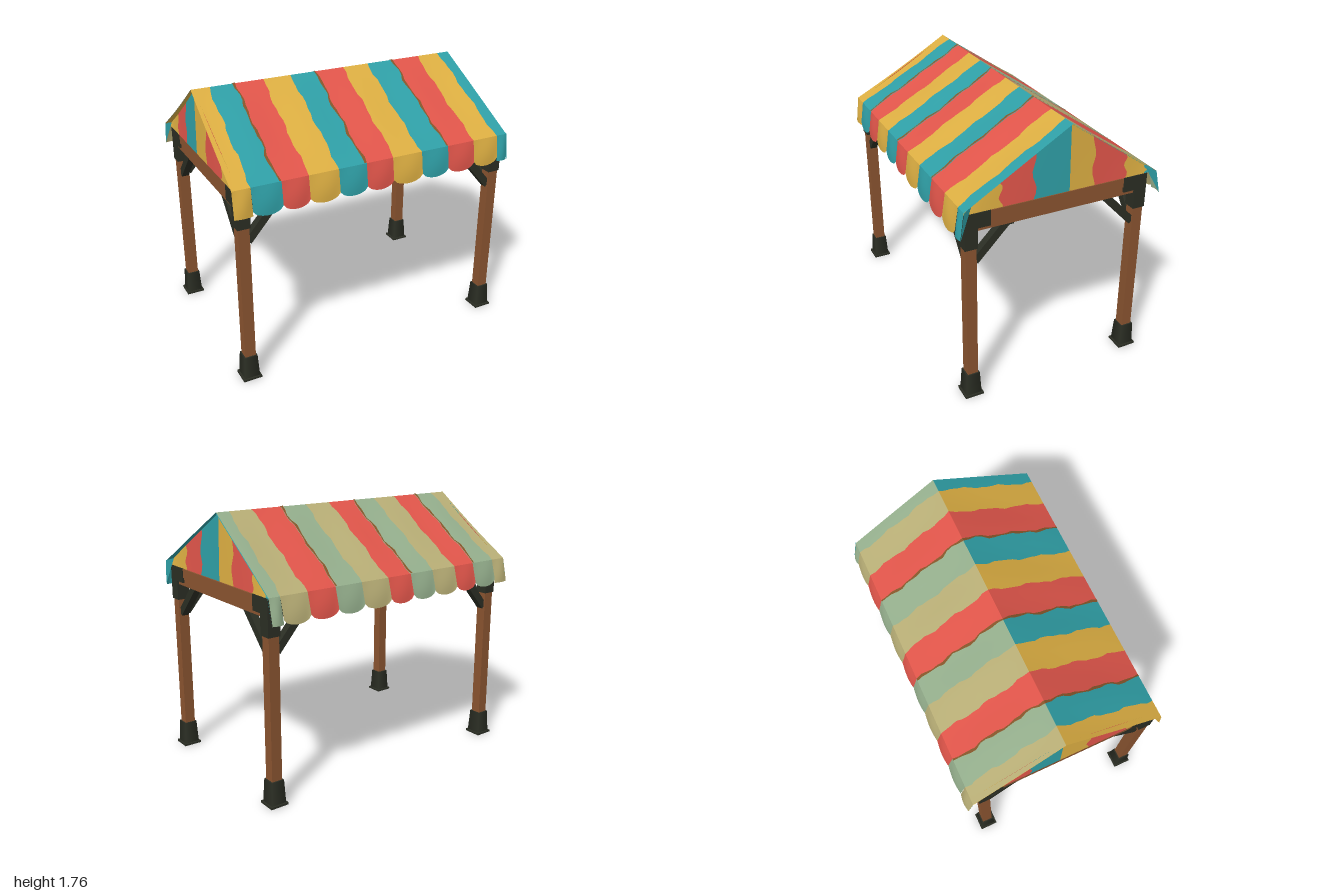
import * as THREE from 'three';

const mat = (name, color, side = THREE.FrontSide) => {
  const m = new THREE.MeshStandardMaterial({ color, side });
  m.name = name;
  return m;
};

export function createModel() {
  const model = new THREE.Group();
  model.name = 'marketCanopy';
  const D = THREE.DoubleSide;
  const yellow = mat('yellow cloth', 0xdcae42, D);
  const teal = mat('teal cloth', 0x2f9fa6, D);
  const red = mat('red cloth', 0xe0554a, D);
  const khaki = mat('faded yellow cloth', 0xb8ae76, D);
  const sage = mat('faded teal cloth', 0x94ae8c, D);
  const seam = mat('brown seam', 0x85552a, D);
  const wood = mat('wood', 0x8a5430);
  const iron = mat('dark iron', 0x2b2e24);

  const add = (parent, name, geometry, material) => {
    const mesh = new THREE.Mesh(geometry, material);
    mesh.name = name;
    parent.add(mesh);
    return mesh;
  };
  const group = (name) => {
    const g = new THREE.Group();
    g.name = name;
    model.add(g);
    return g;
  };
  const box = (parent, name, w, h, d, x, y, z, material) => {
    const m = add(parent, name, new THREE.BoxGeometry(w, h, d), material);
    m.position.set(x, y, z);
    return m;
  };
  // Grid bent by a rule: u runs left to right, v runs top to bottom
  const sheet = (parent, name, nu, nv, rule, material) => {
    const g = new THREE.PlaneGeometry(1, 1, nu, nv);
    const p = g.attributes.position;
    for (let i = 0; i < p.count; i++) {
      p.setXYZ(i, ...rule(p.getX(i) + 0.5, 0.5 - p.getY(i)));
    }
    g.computeVertexNormals();
    return add(parent, name, g, material);
  };

  // Roof shape
  const RIDGE = { y: 1.755, z: -0.04 };
  const EAVE = { 1: { y: 1.355, z: 0.655, hemZ: 0.678 }, [-1]: { y: 1.34, z: -0.645, hemZ: -0.682 } };
  const roofPoint = (x, v, side, lift = 0) => {
    const e = EAVE[side];
    const ripple = Math.sin(Math.PI * v) * (0.006 * Math.sin(x * 15) - 0.004);
    return [x * (0.985 + 0.02 * v), RIDGE.y + (e.y - RIDGE.y) * v + ripple + lift,
      RIDGE.z + (e.z - RIDGE.z) * v];
  };
  const edges = [-0.98, -0.86, -0.68, -0.49, -0.29, -0.1, 0.1, 0.3, 0.5, 0.71, 0.89, 0.975];
  const bright = [yellow, teal, red];
  const faded = [khaki, sage, red];
  const edgeX = (i, v) => {
    const inner = i > 0 && i < edges.length - 1;
    return edges[i] + (inner ? 0.007 * Math.sin(v * 16 + i * 2.3) + 0.004 * Math.sin(v * 37 + i) : 0);
  };

  // Striped slopes with scalloped valances
  for (const side of [1, -1]) {
    const front = side === 1;
    const label = front ? 'front' : 'back';
    const roof = group(label + 'Awning');
    const e = EAVE[side];
    const lining = front ? null : group('backAwningLining');
    for (let i = 0; i < edges.length - 1; i++) {
      const at = (u, v) => THREE.MathUtils.lerp(edgeX(i, v), edgeX(i + 1, v), u);
      const flip = (u) => (front ? u : 1 - u);
      const cloth = (front ? bright : faded)[i % 3];
      sheet(roof, label + 'RoofStripe', 4, 16, (u, v) => roofPoint(at(flip(u), v), v, side), cloth);
      if (lining) {
        sheet(lining, 'liningStripe', 4, 16, (u, v) => roofPoint(at(u, v), v, side, -0.008), bright[i % 3]);
      }
      // Valance flap, bulging and rounded at its hem
      sheet(roof, label + 'Scallop', 10, 6, (u, v) => {
        const s = Math.sin(Math.PI * u);
        const x = THREE.MathUtils.lerp(edgeX(i, 1), edgeX(i + 1, 1), flip(u)) * 1.005;
        const end = i === 0 || i === edges.length - 2;
        const hem = end ? 1.18 : 1.208 - 0.038 * Math.sqrt(Math.max(s, 0));
        return [x, e.y + (hem - e.y) * v,
          e.z + (e.hemZ - e.z) * v + side * 0.014 * s * Math.sin(Math.PI * v * 0.8)];
      }, cloth);
      // Worn seam on one side of every red stripe
      if (cloth === red) {
        sheet(roof, label + 'Seam', 1, 16, (u, v) => {
          const w = 0.014 + 0.006 * Math.sin(v * 23 + i);
          return roofPoint(edgeX(i, v) - w * (1 - flip(u)), v, side, 0.004);
        }, seam);
      }
    }
    // Corner returns that wrap round the ends of the valance
    for (const sx of [-1, 1]) {
      const inZ = e.z - side * 0.06;
      sheet(roof, label + 'CornerFlap', 1, 4, (u, v) => [
        sx * (0.985 - 0.03 * u * (1 - v)),
        e.y + (1.18 - e.y) * v + 0.02 * u * (1 - v),
        THREE.MathUtils.lerp(e.z + (e.hemZ - e.z) * v, inZ + (e.hemZ - inZ) * v, u),
      ], front && sx < 0 ? yellow : teal);
    }
  }

  // Striped gable ends
  const gableT = [1, 0.65, 0.34, 0, -0.27, -0.65, -0.9, -1];
  const gableCloth = [yellow, red, teal, yellow, red, yellow, teal];
  for (const sx of [1, -1]) {
    const gable = group(sx > 0 ? 'leftGable' : 'rightGable');
    gableCloth.forEach((cloth, i) => {
      sheet(gable, 'gableStripe', 4, 8, (u, v) => {
        const wob = (k) => gableT[k] + (k > 0 && k < 7 && k !== 3 ? 0.02 * Math.sin(v * 9 + k * 2) : 0);
        const t = sx * THREE.MathUtils.lerp(wob(i), wob(i + 1), u);
        const e = EAVE[t >= 0 ? 1 : -1];
        const a = Math.abs(t);
        const top = RIDGE.y + (e.y - RIDGE.y) * a - 0.004;
        return [sx * (0.945 + 0.012 * v), top + (1.325 - top) * v, RIDGE.z + (e.z - RIDGE.z) * a];
      }, cloth);
    });
  }

  // Timber frame
  const PX = 0.915, FZ = 0.6, BZ = -0.555, MZ = (FZ + BZ) / 2;
  const frame = group('timberFrame');
  for (const z of [FZ, BZ]) box(frame, 'longBeam', 2 * PX, 0.11, 0.06, 0, 1.255, z, wood);
  for (const sx of [-1, 1]) {
    box(frame, 'endBeam', 0.06, 0.06, FZ - BZ, sx * PX, 1.228, MZ, wood);
    box(frame, 'endPlate', 0.075, 0.06, FZ - BZ, sx * PX, 1.288, MZ, wood);
  }

  // Diagonal brace from a to b
  const brace = (parent, a, b) => {
    const dir = b.clone().sub(a);
    const m = add(parent, 'brace', new THREE.BoxGeometry(0.05, dir.length(), 0.05), iron);
    m.position.copy(a).add(b).multiplyScalar(0.5);
    m.quaternion.setFromUnitVectors(new THREE.Vector3(0, 1, 0), dir.normalize());
  };

  // Posts with iron shoes, head brackets and braces
  for (const sx of [-1, 1]) {
    for (const z of [FZ, BZ]) {
      const post = group((z > 0 ? 'front' : 'back') + (sx > 0 ? 'Left' : 'Right') + 'Post');
      const x = sx * PX, inX = -sx, inZ = -Math.sign(z);
      box(post, 'shaft', 0.072, 1.1, 0.07, x, 0.62, z, wood);
      box(post, 'footPlate', 0.125, 0.014, 0.125, x, 0.007, z, iron);
      const shoe = add(post, 'shoe', new THREE.CylinderGeometry(0.062, 0.073, 0.155, 4, 1), iron);
      shoe.geometry.rotateY(Math.PI / 4);
      shoe.position.set(x, 0.09, z);
      box(post, 'headBracket', 0.086, 0.235, 0.084, x, 1.205, z, iron);
      box(post, 'longBeamStrap', 0.12, 0.115, 0.072, x + inX * 0.07, 1.262, z, iron);
      box(post, 'endBeamStrap', 0.086, 0.1, 0.11, x, 1.272, z + inZ * 0.07, iron);
      brace(post, new THREE.Vector3(x + inX * 0.03, 0.99, z), new THREE.Vector3(x + inX * 0.22, 1.21, z));
      brace(post, new THREE.Vector3(x, 0.99, z + inZ * 0.03), new THREE.Vector3(x, 1.23, z + inZ * 0.26));
    }
  }
  return model;
}
